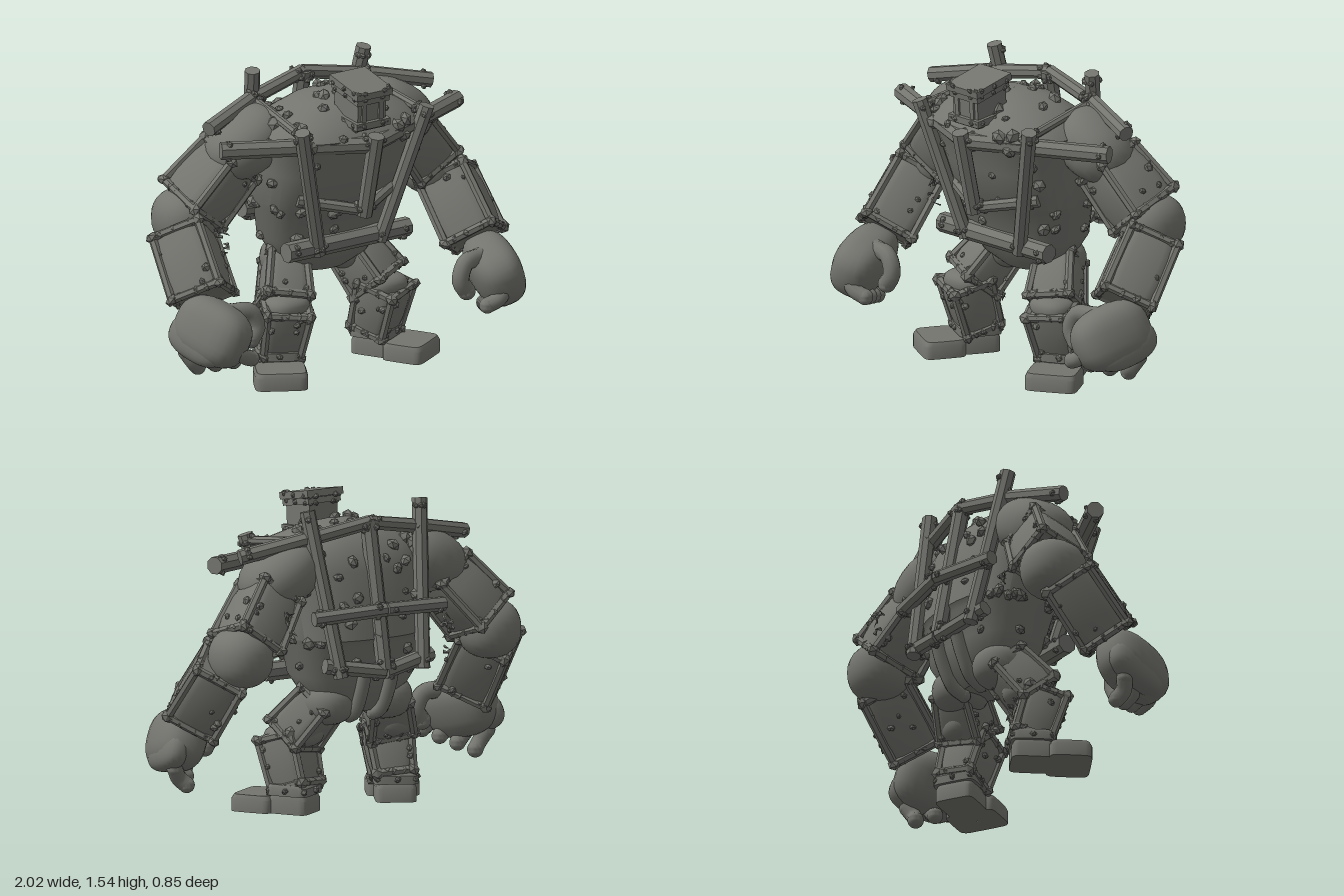
import * as THREE from 'three';
import { toCreasedNormals } from 'three/addons/utils/BufferGeometryUtils.js';

const V = (x, y, z) => new THREE.Vector3(x, y, z);

export function createModel() {
  const root = new THREE.Group();
  const stone = new THREE.MeshStandardMaterial({ color: 0x74756f });
  stone.name = 'stone grey';

  let seed = 7;
  const rnd = () => {
    const v = Math.sin(++seed * 12.9898) * 43758.5453;
    return v - Math.floor(v);
  };

  function add(parent, name, geo, pos, crease = 0.6) {
    const mesh = new THREE.Mesh(toCreasedNormals(geo, crease), stone);
    mesh.name = name;
    if (pos) mesh.position.copy(pos);
    parent.add(mesh);
    return mesh;
  }

  // Point on a rounded cross-section [y, halfWidth, zFront, zBack]
  const power = (v, p) => Math.sign(v) * Math.abs(v) ** p;
  function ringPoint([y, w, f, b], a, p) {
    return V(w * power(Math.sin(a), p), y, (f + b) / 2 + (f - b) / 2 * power(Math.cos(a), p));
  }
  function loft(sections, p = 0.8, n = 24) {
    const cap = ([y, , f, b]) => [y, 0.001, (f + b) / 2 + 0.001, (f + b) / 2 - 0.001];
    const rows = [cap(sections[0]), ...sections, cap(sections[sections.length - 1])];
    const pos = [], index = [];
    for (const s of rows) for (let i = 0; i < n; i++) pos.push(...ringPoint(s, i / n * Math.PI * 2, p).toArray());
    for (let j = 0; j < rows.length - 1; j++) for (let i = 0; i < n; i++) {
      const a = j * n + i, b = j * n + (i + 1) % n;
      index.push(a, b, b + n, a, b + n, a + n);
    }
    const g = new THREE.BufferGeometry();
    g.setAttribute('position', new THREE.Float32BufferAttribute(pos, 3));
    g.setIndex(index);
    return g;
  }

  // Rounded lump: a sphere pushed towards a box
  function blob(parent, name, pos, size, p = 0.8, rot = [0, 0, 0]) {
    const g = new THREE.SphereGeometry(1, 24, 16), a = g.attributes.position;
    for (let i = 0; i < a.count; i++)
      a.setXYZ(i, size[0] * power(a.getX(i), p), size[1] * power(a.getY(i), p), size[2] * power(a.getZ(i), p));
    const m = add(parent, name, g, pos, 1);
    m.rotation.set(...rot);
  }

  function rock(parent, pos, r, name = 'stud') {
    const m = add(parent, name, new THREE.IcosahedronGeometry(r, 0), pos, 0.2);
    m.rotation.set(rnd() * 3, rnd() * 3, rnd() * 3);
    m.scale.y = 0.75;
  }
  function scatter(parent, sections, p, count, r) {
    for (let k = 0; k < count; k++) {
      const j = Math.floor(rnd() * (sections.length - 1)), t = rnd();
      const s = sections[j].map((v, i) => v + (sections[j + 1][i] - v) * t);
      rock(parent, ringPoint(s, rnd() * Math.PI * 2, p), r * (0.6 + rnd() * 0.6));
    }
  }

  // Group whose y axis runs from a to b
  function frame(name, a, b, hint = V(1, 0, 0)) {
    const g = new THREE.Group(), y = b.clone().sub(a).normalize();
    const z = hint.clone().cross(y).normalize(), x = y.clone().cross(z);
    g.quaternion.setFromRotationMatrix(new THREE.Matrix4().makeBasis(x, y, z));
    g.position.copy(a);
    g.name = name;
    root.add(g);
    return g;
  }

  // Eight-sided timber with a few rivets at each end
  function beam(name, a, b, r = 0.035) {
    const hint = Math.abs(b.x - a.x) > Math.abs(b.y - a.y) ? V(0, 0, 1) : V(1, 0, 0);
    const L = a.distanceTo(b), g = frame(name, a, b, hint);
    const c = new THREE.CylinderGeometry(r, r * 1.05, L, 8);
    c.rotateY(Math.PI / 8);
    add(g, name, c, V(0, L / 2, 0), 0.2);
    for (const y of [0.04, L - 0.04]) for (let k = 0; k < 4; k++) {
      const t = rnd() * 6.28;
      rock(g, V(Math.cos(t) * r, y, Math.sin(t) * r), 0.018, 'rivet');
    }
  }

  // Boxy limb plate with corner posts, end bands and rivets
  function armour(name, a, b, w0, w1, d0, d1, hint) {
    const L = a.distanceTo(b), g = frame(name, a, b, hint);
    const row = (t, k) => {
      const w = (w0 + (w1 - w0) * t) * k / 2, d = (d0 + (d1 - d0) * t) * k / 2;
      return [t * L, w, d, -d];
    };
    const s = [row(0, 0.94), row(0.3, 1.04), row(0.7, 1.04), row(1, 0.94)];
    add(g, name + 'Plate', loft(s, 0.5), null, 0.7);
    scatter(g, s, 0.5, 14, 0.022);
    const corner = (t, i) => {
      const [y, w, d] = row(t, 0.9), q = [[1, 1], [1, -1], [-1, -1], [-1, 1]][i % 4];
      return V(q[0] * w, y, q[1] * d);
    };
    const strip = (p, q, label) => {
      const len = p.distanceTo(q), c = new THREE.CylinderGeometry(0.021, 0.021, len, 6);
      const m = add(g, label, c, p.clone().add(q).multiplyScalar(0.5), 0.2);
      m.quaternion.setFromUnitVectors(V(0, 1, 0), q.clone().sub(p).normalize());
    };
    for (let i = 0; i < 4; i++) {
      strip(corner(0, i), corner(1, i), 'cornerPost');
      for (const t of [0.03, 0.97]) {
        strip(corner(t, i), corner(t, i + 1), 'endBand');
        rock(g, corner(t, i), 0.036, 'rivet');
        for (const k of [0.1, 0.35, 0.65])
          rock(g, corner(t, i).lerp(corner(t, i + 1), k + rnd() * 0.25), 0.026, 'rivet');
      }
    }
  }

  function tube(name, pts, r) {
    const curve = new THREE.CatmullRomCurve3(pts);
    add(root, name, new THREE.TubeGeometry(curve, 12, r, 10), null, 1);
    for (const p of [pts[0], pts[pts.length - 1]]) blob(root, name + 'End', p, [r, r, r], 1);
  }

  // Forward-leaning torso
  const torso = [
    [0.49, 0.12, 0.0, -0.2], [0.55, 0.24, 0.06, -0.26], [0.68, 0.33, 0.12, -0.31], [0.84, 0.35, 0.17, -0.33],
    [0.87, 0.37, 0.2, -0.35], [1.05, 0.38, 0.25, -0.32], [1.2, 0.41, 0.31, -0.29], [1.25, 0.42, 0.33, -0.27],
    [1.32, 0.35, 0.28, -0.23], [1.38, 0.2, 0.17, -0.16], [1.41, 0.08, 0.06, -0.06]];
  add(root, 'torso', loft(torso, 0.8, 32));
  scatter(root, torso.slice(2, 8), 0.8, 60, 0.034);
  scatter(root, torso.slice(7), 0.8, 32, 0.036);

  // Head: leaning square column with flange and cap
  const head = frame('head', V(0, 1.29, 0.235), V(0, 1.52, 0.25));
  for (const [name, y, w, h, d] of [['headColumn', 0.11, 0.165, 0.2, 0.2], ['neckFlange', 0.04, 0.2, 0.035, 0.24],
    ['headBand', 0.175, 0.19, 0.03, 0.225], ['headCap', 0.21, 0.21, 0.035, 0.245]]) {
    add(head, name, new THREE.BoxGeometry(w, h, d), V(0, y, 0)).rotation.x = y > 0.17 ? 0.12 : 0;
    if (w > 0.18) for (let k = 0; k < 14; k++) {
      const t = k / 14 * 6.28;
      rock(head, V(power(Math.cos(t), 0.4) * w / 2, y, power(Math.sin(t), 0.4) * d / 2), 0.016, 'rivet');
    }
  }
  for (const x of [-0.05, 0.05]) add(head, 'faceRib', new THREE.BoxGeometry(0.025, 0.16, 0.02), V(x, 0.11, 0.1));

  // Centre timbers
  beam('chestPost', V(0, 1.27, 0.38), V(0, 0.84, 0.28), 0.04);
  beam('frontBelt', V(-0.36, 0.67, 0.13), V(0.36, 0.67, 0.13), 0.048);
  beam('spinePost', V(0, 1.44, -0.24), V(0, 0.72, -0.38), 0.04);

  for (const s of [-1, 1]) {
    const P = (x, y, z) => V(s * x, y, z);

    // Timber cage
    beam('frontPost', P(0.37, 1.33, 0.28), P(0.18, 0.64, 0.15), 0.037);
    beam('topRail', P(0.36, 1.3, 0.26), P(0.32, 1.36, -0.2), 0.022);
    beam('chestRail', P(0.7, 1.24, 0.06), P(0, 1.22, 0.35), 0.042);
    beam('waistRail', P(0.3, 0.93, 0.14), P(0, 0.86, 0.27), 0.03);
    beam('backPost', P(0.33, 1.51, -0.2), P(0.24, 0.7, -0.36), 0.037);
    beam('shoulderRail', P(0.66, 1.3, -0.1), P(0.3, 1.38, -0.21), 0.037);
    beam('upperBackRail', P(0.33, 1.37, -0.2), P(0, 1.43, -0.25), 0.035);
    beam('middleBackRail', P(0.38, 1.0, -0.33), P(0, 1.02, -0.39), 0.035);
    beam('lowerBackRail', P(0.31, 0.76, -0.32), P(0, 0.71, -0.38), 0.037);
    tube('tailPost', [P(0.08, 0.7, -0.33), P(0.08, 0.61, -0.3), P(0.075, 0.5, -0.24), P(0.07, 0.47, -0.18)], 0.033);

    // Shoulder and arm
    blob(root, 'shoulder', P(0.43, 1.19, -0.11), [0.22, 0.15, 0.18], 0.9, [0, 0, -s * 0.5]);
    armour('upperArm', P(0.5, 1.12, -0.13), P(0.69, 0.89, -0.2), 0.25, 0.27, 0.26, 0.31, V(1, 0, 0));
    blob(root, 'elbow', P(0.73, 0.83, -0.21), [0.15, 0.15, 0.165], 0.9);
    armour('forearm', P(0.78, 0.785, -0.155), P(0.805, 0.51, 0.065), 0.27, 0.28, 0.27, 0.28, V(s, 0.6, 0.75));

    // Fist, curled fingers and thumb
    blob(root, 'fist', P(0.835, 0.375, 0.185), [0.125, 0.155, 0.205], 0.75, [0.25, -s * 0.22, s * 0.4]);
    blob(root, 'knuckles', P(0.905, 0.33, 0.16), [0.07, 0.1, 0.175], 0.8, [0.25, -s * 0.2, s * 0.3]);
    for (let i = 0; i < 4; i++) {
      const t = i / 3, z = 0.32 - 0.24 * t;
      tube('finger', [P(0.82 + 0.1 * t, 0.34 - 0.08 * t, z), P(0.755 + 0.13 * t, 0.275 - 0.07 * t, z + 0.015),
        P(0.7 + 0.15 * t, 0.25 - 0.08 * t, z)], 0.04);
    }
    tube('thumb', [P(0.74, 0.46, 0.2), P(0.64, 0.45, 0.22), P(0.605, 0.37, 0.23), P(0.64, 0.31, 0.23)], 0.044);

    // Hip, leg and ankle
    blob(root, 'hip', P(0.17, 0.54, -0.13), [0.13, 0.11, 0.14], 0.9);
    armour('thigh', P(0.19, 0.56, -0.13), P(0.28, 0.37, 0.0), 0.19, 0.24, 0.2, 0.23, V(1, 0, -s * 0.3));
    blob(root, 'knee', P(0.29, 0.36, 0.03), [0.115, 0.06, 0.1], 0.8);
    blob(root, 'hamstring', P(0.26, 0.4, -0.07), [0.1, 0.08, 0.09], 0.9);
    armour('shin', P(0.295, 0.37, 0.04), P(0.285, 0.12, -0.04), 0.24, 0.2, 0.22, 0.2, V(1, 0, -s * 0.5));

    // Turned-out foot
    const foot = new THREE.Group();
    foot.name = 'foot';
    foot.position.copy(P(0.29, 0, -0.05));
    foot.rotation.y = s * 0.52;
    root.add(foot);
    const slab = (name, y, h, w, f, b) => add(foot, name,
      loft([[y, w, f, b], [y + h * 0.75, w, f, b], [y + h, w * 0.93, f - 0.012, b + 0.012]], 0.3));
    slab('heel', 0, 0.09, 0.1, 0.12, -0.09);
    slab('toe', 0, 0.085, 0.13, 0.305, 0.09);
    slab('ankleCuff', 0.09, 0.055, 0.11, 0.12, -0.095);
    for (let k = 0; k < 8; k++) {
      const t = k / 8 * 6.28;
      rock(foot, V(power(Math.cos(t), 0.5) * 0.11, 0.115, 0.01 + power(Math.sin(t), 0.5) * 0.11), 0.019, 'rivet');
    }
  }

  // Small leaf tufts caught on the body
  for (const [x, y, z] of [[-0.42, 0.88, -0.3], [0.54, 1.0, -0.36], [-0.6, 0.72, -0.05], [-0.12, 0.35, -0.05]])
    for (let k = 0; k < 9; k++) {
      const m = add(root, 'leaf', new THREE.ConeGeometry(0.011, 0.045, 4),
        V(x + (rnd() - 0.5) * 0.06, y + (rnd() - 0.5) * 0.13, z + (rnd() - 0.5) * 0.05), 0.2);
      m.rotation.set(rnd() * 6, rnd() * 6, rnd() * 6);
      m.scale.z = 0.4;
    }

  return root;
}
